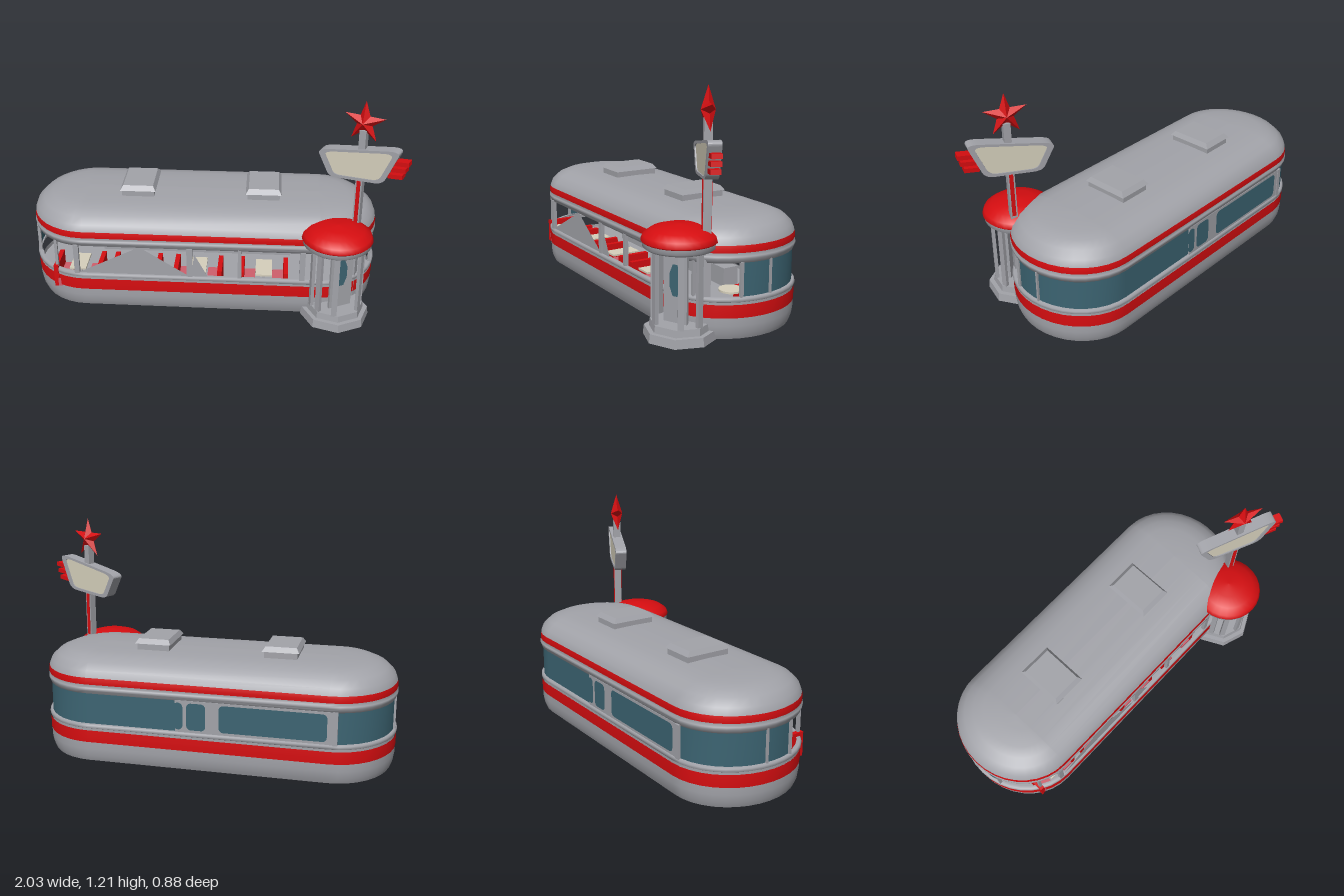
import * as THREE from 'three';

const paint = (name, color, side = THREE.FrontSide) => {
  const m = new THREE.MeshStandardMaterial({ color, side });
  m.name = name;
  return m;
};

export function createModel() {
  const steel = paint('steel', 0xa2a3a9, THREE.DoubleSide);
  const red = paint('red', 0xd60d10);
  const glass = paint('tealGlass', 0x3c6472, THREE.DoubleSide);
  const cream = paint('cream', 0xd6d0bc);
  const pink = paint('pinkUpholstery', 0xcf5f6c);

  const model = new THREE.Group();
  model.name = 'diner';
  const add = (name, geo, mat, x = 0, y = 0, z = 0, parent = model) => {
    const mesh = new THREE.Mesh(geo, mat);
    mesh.name = name;
    mesh.position.set(x, y, z);
    parent.add(mesh);
    return mesh;
  };
  const box = (name, mat, w, h, d, x, y, z, parent) =>
    add(name, new THREE.BoxGeometry(w, h, d), mat, x, y, z, parent);
  const group = (name, x, y, z, turn = 0) => {
    const g = new THREE.Group();
    g.name = name;
    g.position.set(x, y, z);
    g.rotation.y = turn;
    model.add(g);
    return g;
  };

  // Rounded-end plan outline, inset by d, over an angle range in degrees
  const outline = (d, a0, a1) => {
    const pts = [];
    const sideOf = (a) => Math.sign(Math.cos(THREE.MathUtils.degToRad(a)));
    for (let a = a0; a <= a1; a += 10) {
      const t = THREE.MathUtils.degToRad(a);
      const x = Math.max(0, 0.32 - d) * Math.cos(t), z = Math.max(0, 0.355 - d) * Math.sin(t);
      const before = sideOf(a - 1), after = sideOf(a + 1);
      pts.push([before * 0.635 + x, z]);
      if (after !== before && a < a1) pts.push([after * 0.635 + x, z]);
    }
    return pts;
  };

  // Body bands: sweep a profile of [inset, height] around the outline
  const body = group('body', -0.045, 0, -0.085);
  const band = (name, mat, profile, a0 = 90, a1 = 450) => {
    const pos = [], idx = [];
    const rows = profile.map(([d]) => outline(d, a0, a1));
    const n = rows[0].length;
    rows.forEach((row, j) => row.forEach(([x, z]) => pos.push(x, profile[j][1], z)));
    for (let j = 0; j < rows.length - 1; j++)
      for (let i = 0; i < n - 1; i++) {
        const a = j * n + i, b = a + n;
        idx.push(a, b, a + 1, a + 1, b, b + 1);
      }
    const geo = new THREE.BufferGeometry();
    geo.setAttribute('position', new THREE.Float32BufferAttribute(pos, 3));
    geo.setIndex(idx);
    geo.computeVertexNormals();
    add(name, geo, mat, 0, 0, 0, body);
  };
  band('underside', steel, [[0.355, 0], [0.02, 0]]);
  band('skirt', steel, [[0.02, 0], [0.008, 0.03], [0.002, 0.07], [0.002, 0.115]]);
  band('lowerStripe', red, [[0, 0.11], [-0.001, 0.143], [0, 0.176]]);
  band('lowerWall', steel, [[0.003, 0.174], [0.003, 0.19]]);
  band('sill', steel, [[0.003, 0.188], [-0.004, 0.192], [-0.004, 0.206], [0.003, 0.212], [0.02, 0.212]]);
  band('windowGlass', glass, [[0.012, 0.21], [0.012, 0.385]], 160, 380);
  band('windowHeader', steel, [[0.02, 0.38], [0.006, 0.38], [0.004, 0.395], [-0.002, 0.4], [-0.002, 0.412], [0.005, 0.418], [0.003, 0.435]]);
  band('upperStripe', red, [[0.001, 0.43], [0, 0.448], [0.003, 0.466]]);
  band('roof', steel, [[0.004, 0.464], [0.018, 0.5], [0.055, 0.535], [0.105, 0.557], [0.16, 0.569], [0.25, 0.574], [0.355, 0.576]]);
  band('floor', steel, [[0.01, 0.1], [0.355, 0.1]]);

  // Rear wall panel with rounded windows
  const roundedRect = (w, h, r) => {
    const s = new THREE.Shape(), x = w / 2 - r, y = h / 2 - r;
    s.absarc(x, y, r, 0, Math.PI / 2);
    s.absarc(-x, y, r, Math.PI / 2, Math.PI);
    s.absarc(-x, -y, r, Math.PI, Math.PI * 1.5);
    s.absarc(x, -y, r, Math.PI * 1.5, Math.PI * 2);
    return s;
  };
  box('rearWall', steel, 0.83, 0.175, 0.008, -0.31, 0.296, -0.433);
  for (const [x, w] of [[-0.005, 0.1], [-0.4, 0.55], [0.09, 0.05]]) {
    const g = new THREE.ShapeGeometry(roundedRect(w, 0.145, 0.024));
    add('rearWindow', g, glass, x, 0.298, -0.4378).rotation.y = Math.PI;
  }

  // Window posts
  for (const [x, w] of [[-0.715, 0.028], [-0.1, 0.032], [0.17, 0.02], [0.505, 0.03]])
    box('frontPost', steel, w, 0.175, 0.02, x, 0.297, 0.258);
  box('rearPost', steel, 0.025, 0.175, 0.012, -0.715, 0.297, -0.435);
  for (const s of [1, -1]) {
    box('endPost', steel, 0.012, 0.175, 0.01, -0.045 + s * 0.945, 0.297, -0.123);
    for (const a of [20, 60]) {
      const t = THREE.MathUtils.degToRad(a);
      box('cornerPost', steel, 0.016, 0.175, 0.016,
        s * (0.635 + 0.31 * Math.cos(t)), 0.297, 0.345 * Math.sin(t), body);
    }
  }

  // Triangular front panels
  const triangle = (...p) => add('frontPanel',
    new THREE.ShapeGeometry(new THREE.Shape(p.map(([x, y]) => new THREE.Vector2(x, y)))), steel, 0, 0, 0.262);
  triangle([-0.71, 0.21], [-0.1, 0.21], [-0.37, 0.382]);
  triangle([-0.09, 0.21], [0.0, 0.21], [-0.075, 0.35]);

  // Booths: facing benches with a table between
  for (const x of [-0.72, -0.4, -0.06, 0.3]) {
    for (const s of [1, -1]) {
      box('benchBack', red, 0.025, 0.13, 0.17, x + s * 0.12, 0.165, 0.15);
      box('benchSeat', pink, 0.065, 0.05, 0.17, x + s * 0.08, 0.125, 0.15);
    }
    box('table', cream, 0.09, 0.01, 0.16, x, 0.212, 0.15);
    box('tableLeg', steel, 0.015, 0.11, 0.015, x, 0.155, 0.15);
  }
  add('endTable', new THREE.CylinderGeometry(0.06, 0.06, 0.01, 16), cream, 0.75, 0.205, 0.0);
  box('endBench', red, 0.1, 0.1, 0.2, 0.74, 0.15, -0.16);
  box('counter', steel, 1.1, 0.1, 0.09, -0.1, 0.15, -0.22);

  // Roof vents: base and shallow hipped lid
  for (const x of [-0.4, 0.287]) {
    box('ventBase', steel, 0.175, 0.045, 0.25, x, 0.584, -0.088);
    const lid = new THREE.CylinderGeometry(0.42, 0.5, 1, 4, 1).toNonIndexed();
    lid.rotateY(Math.PI / 4);
    lid.scale(0.195 * Math.SQRT2, 0.025, 0.265 * Math.SQRT2);
    lid.computeVertexNormals();
    add('ventLid', lid, steel, x, 0.619, -0.088);
  }

  // Corner entrance: steps, posts, door and domed canopy
  const porch = group('entrance', 0.69, 0, 0.25, 0.46);
  for (const [r, h, y] of [[0.185, 0.045, 0.0225], [0.155, 0.035, 0.0625]]) {
    const g = new THREE.CylinderGeometry(r * 0.97, r, h, 8).toNonIndexed();
    g.rotateY(Math.PI / 8);
    g.computeVertexNormals();
    add('step', g, steel, 0, y, 0, porch);
  }
  for (const a of [-1.75, -1.25, -0.55, 0.55, 1.25])
    box('porchPost', steel, 0.03, 0.37, 0.018, 0.135 * Math.sin(a), 0.26, 0.135 * Math.cos(a), porch).rotation.y = a;
  box('door', steel, 0.13, 0.36, 0.015, 0, 0.26, 0.045, porch);
  const pane = new THREE.CircleGeometry(1, 8, Math.PI / 8);
  pane.scale(0.033, 0.085, 1);
  add('doorWindow', pane, glass, 0, 0.29, 0.0535, porch);
  const lathe = (name, mat, pts) => add(name,
    new THREE.LatheGeometry(pts.map(([x, y]) => new THREE.Vector2(x, y)), 28), mat, 0.68, 0, 0.25);
  lathe('canopyRim', steel, [[0, 0.438], [0.165, 0.438], [0.18, 0.45], [0.18, 0.476]]);
  lathe('canopyDome', red, [[0.18, 0.472], [0.188, 0.48], [0.178, 0.505], [0.14, 0.532], [0.08, 0.55], [0, 0.556]]);

  // Sign pole with coloured strips
  const tower = group('signTower', 0.782, 0, 0.168, -0.44);
  box('pole', steel, 0.036, 1.06, 0.04, 0, 0.53, 0, tower);
  for (const s of [1, -1]) box('poleStrip', red, 0.02, 0.24, 0.004, 0, 0.66, s * 0.021, tower);

  // Sign board: rounded trapezoid with a pale panel on each side
  const board = (k) => {
    const c = new THREE.Vector2(-0.01, 0.875);
    const p = [[-0.228, 0.918], [-0.155, 0.772], [0.125, 0.795], [0.205, 0.998]]
      .map(([x, y]) => new THREE.Vector2(x, y).sub(c).multiply(new THREE.Vector2(k, k * 0.95)).add(c));
    const s = new THREE.Shape();
    p.forEach((v, i) => {
      const a = v.clone().lerp(p[(i + 3) % 4], 0.17), b = v.clone().lerp(p[(i + 1) % 4], 0.17);
      if (i) s.lineTo(a.x, a.y); else s.moveTo(a.x, a.y);
      s.quadraticCurveTo(v.x, v.y, b.x, b.y);
    });
    s.closePath();
    return s;
  };
  const frame = board(1.03);
  frame.holes.push(board(0.86));
  add('signFrame', new THREE.ExtrudeGeometry(frame, { depth: 0.064, bevelEnabled: false }), steel, 0, 0, -0.032, tower);
  add('signPanel', new THREE.ExtrudeGeometry(board(0.87), { depth: 0.052, bevelEnabled: false }), cream, 0, 0, -0.026, tower);
  [[0.215, 0.925], [0.202, 0.888], [0.188, 0.85]].forEach(([x, y]) => {
    box('signFin', red, 0.075, 0.023, 0.05, x, y, 0, tower).rotation.z = 0.1;
  });

  // Faceted five-point star
  const star = [], ring = [];
  for (let i = 0; i < 10; i++) {
    const r = i % 2 ? 0.044 : 0.114, a = Math.PI / 2 + i * Math.PI / 5;
    ring.push([r * Math.cos(a), r * Math.sin(a), 0]);
  }
  ring.forEach((p, i) => {
    const q = ring[(i + 1) % 10];
    star.push(...p, ...q, 0, 0, 0.035, ...q, ...p, 0, 0, -0.035);
  });
  const starGeo = new THREE.BufferGeometry();
  starGeo.setAttribute('position', new THREE.Float32BufferAttribute(star, 3));
  starGeo.computeVertexNormals();
  add('star', starGeo, red, 0, 1.1, 0, tower);

  return model;
}
